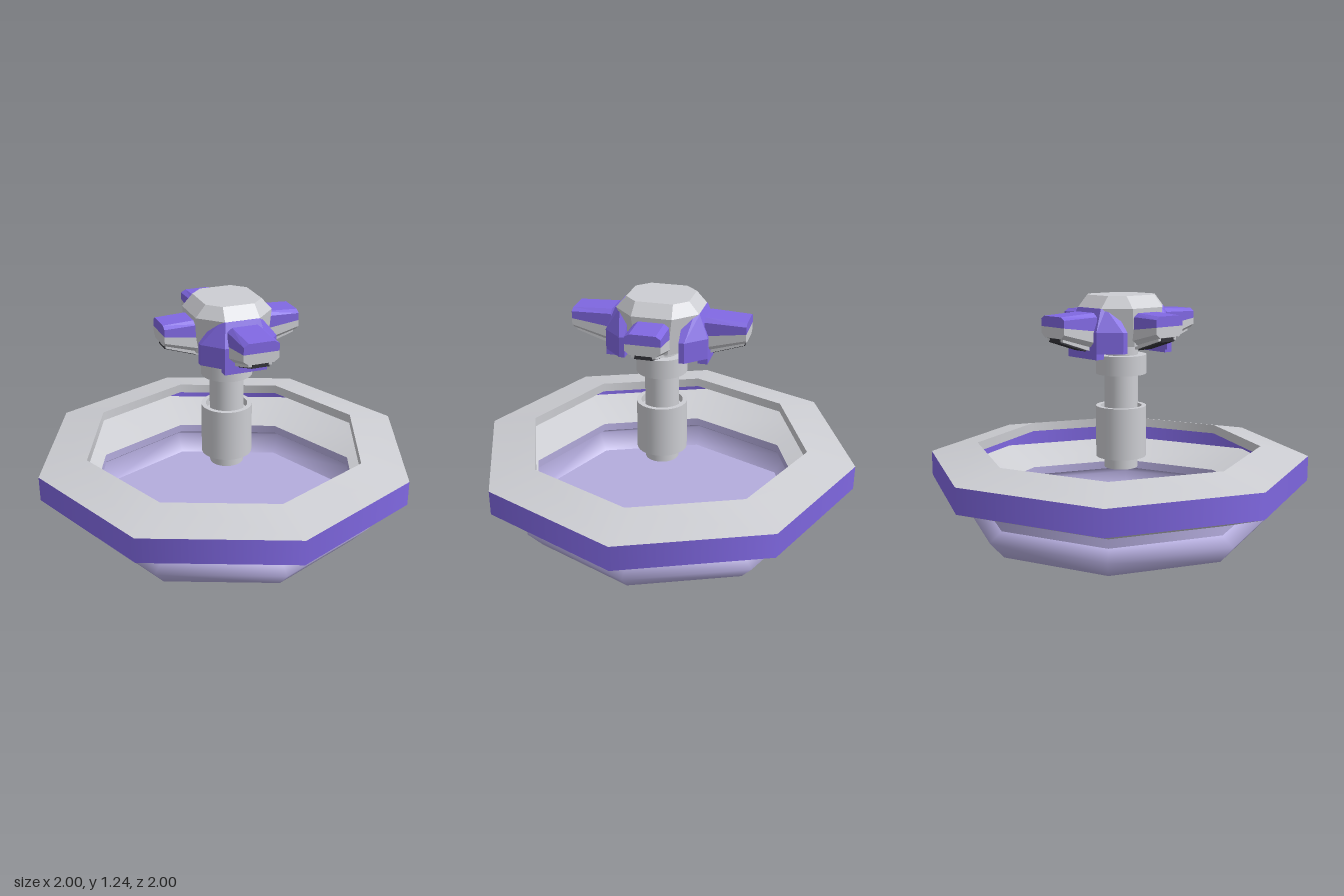
import * as THREE from 'three';

const material = (name, color) => {
  const m = new THREE.MeshStandardMaterial({ color, side: THREE.DoubleSide });
  m.name = name;
  return m;
};

export function createModel() {
  const grey = material('light grey', 0xcdced3);
  const purple = material('purple', 0x8068e2);
  const lavender = material('lavender', 0xb4acdd);
  const dark = material('charcoal', 0x34343a);
  const model = new THREE.Group();

  const add = (parent, name, geometry, mat) => {
    const mesh = new THREE.Mesh(geometry, mat);
    mesh.name = name;
    parent.add(mesh);
    return mesh;
  };

  // Turned part; each profile is smooth in itself and sharp against the next
  const turned = (parent, name, sides, mat, ...profiles) => {
    const group = new THREE.Group();
    group.name = name;
    profiles.forEach((p) => add(group, name + 'Face',
      new THREE.LatheGeometry(p.map(([r, y]) => new THREE.Vector2(r, y)), sides), mat));
    parent.add(group);
  };

  // Flat-shaded solid through matching cross-sections, with closed ends
  const loft = (sections) => {
    const pos = [];
    const n = sections[0].length;
    const tri = (...pts) => pts.forEach((p) => pos.push(...p));
    for (let s = 0; s < sections.length - 1; s++) {
      const a = sections[s], b = sections[s + 1];
      for (let i = 0; i < n; i++) {
        const j = (i + 1) % n;
        tri(a[i], a[j], b[j]);
        tri(a[i], b[j], b[i]);
      }
    }
    const first = sections[0], last = sections[sections.length - 1];
    for (let i = 1; i < n - 1; i++) {
      tri(first[0], first[i + 1], first[i]);
      tri(last[0], last[i], last[i + 1]);
    }
    const g = new THREE.BufferGeometry();
    g.setAttribute('position', new THREE.Float32BufferAttribute(pos, 3));
    g.computeVertexNormals();
    return g;
  };

  // Octagonal hollow basin
  turned(model, 'basinFloor', 8, lavender, [[0, 0], [0.74, 0]]);
  turned(model, 'basinFoot', 8, lavender,
    [[0.74, 0], [0.82, 0.09], [0.75, 0.135]], [[0.75, 0.135], [0.75, 0.18]]);
  turned(model, 'basinSlope', 8, grey, [[0.75, 0.18], [1, 0.27]]);
  turned(model, 'basinBand', 8, purple, [[1, 0.27], [1, 0.4]]);
  turned(model, 'basinRim', 8, grey, [[1, 0.4], [0.75, 0.45]], [[0.75, 0.45], [0.75, 0.4]]);

  const tower = new THREE.Group();
  tower.name = 'tower';
  tower.position.z = 0.023;
  model.add(tower);

  // Telescopic pole
  turned(tower, 'poleShaft', 32, grey,
    [[0, 0.33], [0.088, 0.33]], [[0.088, 0.33], [0.088, 1.02]]);
  turned(tower, 'lowerCollar', 32, grey, [[0.088, 0.39], [0.132, 0.39]],
    [[0.132, 0.39], [0.132, 0.66]], [[0.132, 0.66], [0.108, 0.66]],
    [[0.108, 0.66], [0.108, 0.62]], [[0.108, 0.62], [0.088, 0.62]]);
  turned(tower, 'upperCollar', 32, grey, [[0.088, 0.83], [0.132, 0.83]],
    [[0.132, 0.83], [0.132, 0.93]], [[0.132, 0.93], [0.088, 0.93]]);

  // Head: a box with cut corners and a bevelled top
  const octagon = (x, z, c, y) => [
    [x, y, z - c], [x, y, c - z], [x - c, y, -z], [c - x, y, -z],
    [-x, y, c - z], [-x, y, z - c], [c - x, y, z], [x - c, y, z],
  ];
  add(tower, 'head', loft([
    octagon(0.19, 0.19, 0.11, 0.99),
    octagon(0.2, 0.212, 0.11, 1.18),
    octagon(0.147, 0.16, 0.065, 1.24),
  ]), grey);

  // Wedge braces clasping the head at front and back
  const bracePlan = (x, zBack, zMid, xFront, zFront, y) => [
    [-x, y, zBack], [-x, y, zMid], [-xFront, y, zFront],
    [xFront, y, zFront], [x, y, zMid], [x, y, zBack],
  ];
  const braceGeo = loft([
    bracePlan(0.2, 0.137, 0.165, 0.11, 0.262, 0.96),
    bracePlan(0.2, 0.137, 0.165, 0.11, 0.262, 1.065),
    bracePlan(0.1, 0.137, 0.19, 0.09, 0.215, 1.18),
  ]);
  const chinGeo = new THREE.BoxGeometry(0.22, 0.05, 0.05);
  for (const turn of [0, Math.PI]) {
    const brace = new THREE.Group();
    brace.name = turn ? 'backBrace' : 'frontBrace';
    brace.rotation.y = turn;
    add(brace, 'braceWedge', braceGeo, purple);
    add(brace, 'braceChin', chinGeo, purple).position.set(0, 0.955, 0.237);
    tower.add(brace);
  }

  // Arms: purple cover, grey body and a dark nozzle slot on the sloping underside
  const cover = (w, y0, y1, y2, z) => [
    [-w, y0, z], [w, y0, z], [w, y1, z], [w - 0.025, y2, z], [0.025 - w, y2, z], [-w, y1, z],
  ];
  const body = (w, y0, y1, y2, z) => [
    [0.025 - w, y0, z], [w - 0.025, y0, z], [w, y1, z], [w, y2, z], [-w, y2, z], [-w, y1, z],
  ];
  const coverGeo = loft([cover(0.09, 1.07, 1.14, 1.16, 0.24), cover(0.09, 1.098, 1.135, 1.15, 0.447)]);
  const bodyGeo = loft([body(0.09, 0.985, 1.01, 1.07, 0.24), body(0.09, 1.045, 1.065, 1.098, 0.447)]);
  const slab = (w, yTop, thick, z) => [
    [-w, yTop - thick, z], [w, yTop - thick, z], [w, yTop, z], [-w, yTop, z],
  ];
  const nozzleGeo = loft([slab(0.06, 1.0, 0.027, 0.265), slab(0.06, 1.05, 0.022, 0.432)]);
  const slotGeo = loft([slab(0.045, 0.976, 0.007, 0.275), slab(0.045, 1.03, 0.008, 0.436)]);
  const mouthGeo = loft([slab(0.045, 1.05, 0.028, 0.43), slab(0.038, 1.05, 0.026, 0.436)]);

  ['front', 'left', 'back', 'right'].forEach((side, i) => {
    const arm = new THREE.Group();
    arm.name = side + 'Arm';
    arm.rotation.y = i * Math.PI / 2;
    if (i % 2) arm.position.x = i === 1 ? -0.092 : 0.092;
    // side arms sit on the centre line of the head
    add(arm, 'armCover', coverGeo, purple);
    add(arm, 'armBody', bodyGeo, grey);
    add(arm, 'nozzleFrame', nozzleGeo, grey);
    add(arm, 'nozzleSlot', slotGeo, dark);
    add(arm, 'nozzleMouth', mouthGeo, dark);
    tower.add(arm);
  });

  return model;
}
